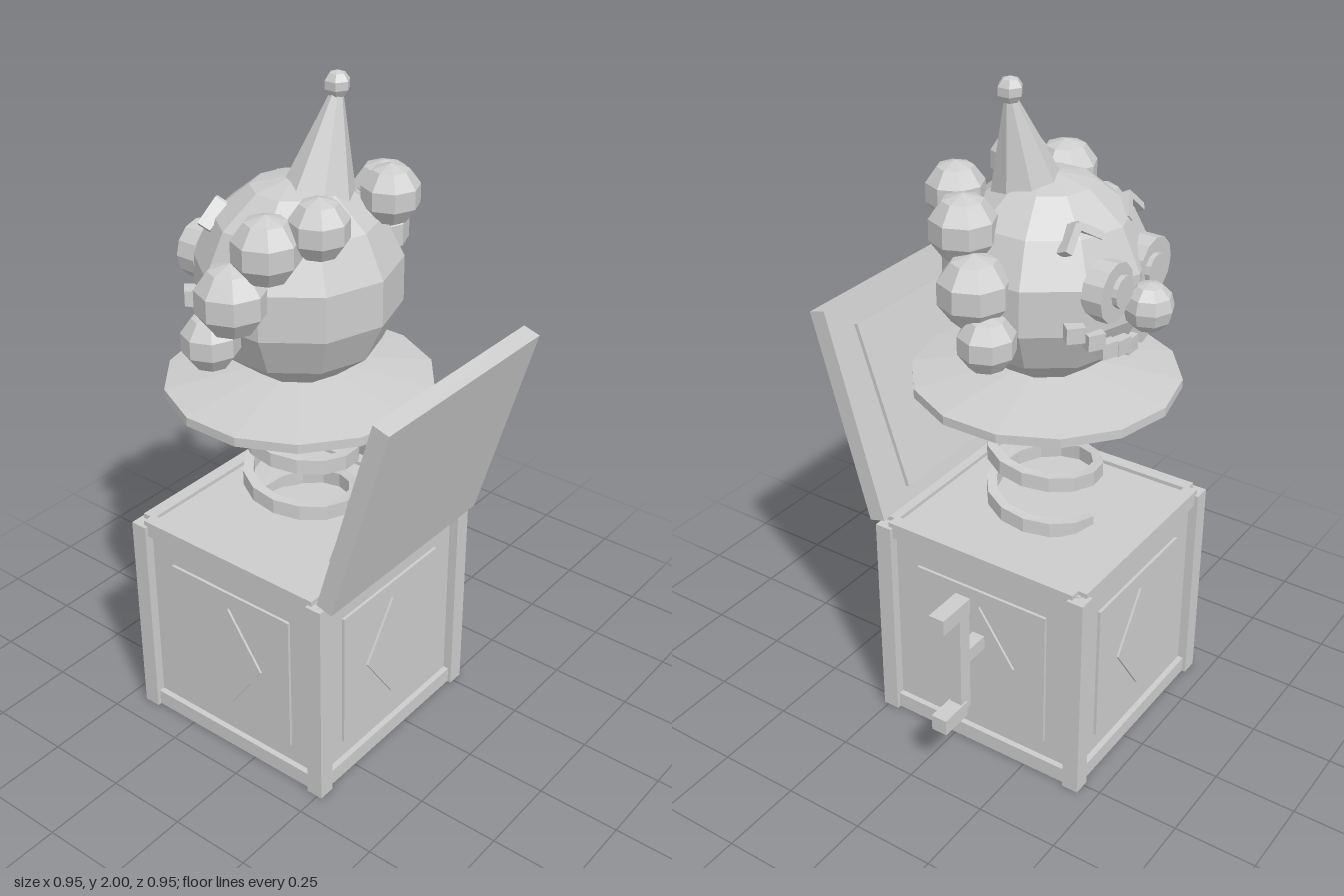
import * as THREE from 'three';

const grey = new THREE.MeshStandardMaterial({ color: 0xcccccc, flatShading: true });
grey.name = 'plain grey';

function add(parent, name, geometry, x = 0, y = 0, z = 0) {
  const mesh = new THREE.Mesh(geometry, grey);
  mesh.name = name;
  mesh.position.set(x, y, z);
  parent.add(mesh);
  return mesh;
}
const box = (w, h, d) => new THREE.BoxGeometry(w, h, d);
const ball = (r, w, h) => new THREE.SphereGeometry(r, w, h).rotateY(Math.PI / 2);

function group(parent, name) {
  const g = new THREE.Group();
  g.name = name;
  parent.add(g);
  return g;
}

// Flat ribbon wound into a helix, with closed ends
function springGeometry(radius, thick, tall, y0, y1, turns, perTurn) {
  const n = Math.round(turns * perTurn), pos = [], idx = [];
  for (let i = 0; i <= n; i++) {
    const a = (i / n) * turns * Math.PI * 2;
    const y = y0 + ((y1 - y0) * i) / n;
    for (const [dr, dy] of [[1, -1], [1, 1], [-1, 1], [-1, -1]]) {
      const r = radius + (dr * thick) / 2;
      pos.push(r * Math.sin(a), y + (dy * tall) / 2, -r * Math.cos(a));
    }
    if (i === n) break;
    for (let k = 0; k < 4; k++) {
      const p = 4 * i + k, q = 4 * i + ((k + 1) % 4);
      idx.push(p, q, p + 4, q, q + 4, p + 4);
    }
  }
  const e = 4 * n;
  idx.push(0, 2, 1, 0, 3, 2, e, e + 1, e + 2, e, e + 2, e + 3);
  const g = new THREE.BufferGeometry();
  g.setAttribute('position', new THREE.Float32BufferAttribute(pos, 3));
  g.setIndex(idx);
  g.computeVertexNormals();
  return g;
}

function buildBox(root) {
  const g = group(root, 'box');
  add(g, 'boxBody', box(0.652, 0.67, 0.652), 0, 0.34, 0);
  const diamond = new THREE.Shape([[0, -0.175], [0.12, 0], [0, 0.175], [-0.12, 0]]
    .map(([x, y]) => new THREE.Vector2(x, y)));
  const diamondGeo = new THREE.ExtrudeGeometry(diamond, { depth: 0.008, bevelEnabled: false });
  for (let i = 0; i < 4; i++) {
    const side = group(g, 'boxSide');
    side.rotation.y = (i * Math.PI) / 2;
    add(side, 'cornerPost', box(0.052, 0.672, 0.052), 0.329, 0.336, 0.329);
    add(side, 'topRail', box(0.632, 0.05, 0.04), 0, 0.662, 0.324);
    add(side, 'bottomRail', box(0.632, 0.05, 0.04), 0, 0.027, 0.324);
    add(side, 'panel', box(0.445, 0.45, 0.01), 0, 0.337, 0.33);
    add(side, 'diamond', diamondGeo, 0, 0.337, 0.334);
  }
}

function buildLid(root) {
  const lid = add(root, 'lid', box(0.685, 0.655, 0.053), 0, 0.9925, 0.449);
  lid.rotation.x = 0.28;
  const panel = add(root, 'lidPanel', box(0.508, 0.51, 0.012), 0, 1.008, 0.394);
  panel.rotation.x = 0.328;
}

function buildCrank(root) {
  const g = group(root, 'crank');
  add(g, 'crankShaft', box(0.1, 0.044, 0.04), 0.375, 0.395, 0);
  add(g, 'crankBar', box(0.045, 0.37, 0.04), 0.437, 0.396, 0);
  add(g, 'crankTopHandle', box(0.126, 0.05, 0.05), 0.479, 0.575, 0);
  add(g, 'crankBottomHandle', box(0.106, 0.05, 0.05), 0.489, 0.217, 0);
}

function buildFace(head) {
  for (const s of [-1, 1]) {
    // Eyes: a wide disc with a smaller disc on it
    const disc = (r, d) => new THREE.CylinderGeometry(r, r, d, 12).rotateX(Math.PI / 2);
    add(head, 'eye', disc(0.083, 0.06), s * 0.1, 1.487, -0.248);
    add(head, 'pupil', disc(0.045, 0.015), s * 0.085, 1.487, -0.285);
    // Chevron brows
    const brow = group(head, 'brow');
    brow.position.set(s * 0.125, 1.63, -0.17);
    brow.rotation.set(0.45, s * -0.25, 0);
    for (const t of [-1, 1]) {
      add(brow, 'browHalf', box(0.085, 0.022, 0.04), t * 0.03, 0, 0).rotation.z = -t * 0.7;
    }
  }
  add(head, 'nose', ball(0.07, 8, 6), 0, 1.42, -0.318);
  // Smile of stepped blocks following the head
  for (let i = -4; i <= 4; i++) {
    const u = i / 4, x = 0.2 * u;
    const y = 1.295 + 0.1 * u * u + (i % 2 ? 0.012 : 0);
    const z = -Math.sqrt(0.295 ** 2 - x * x - (y - 1.44) ** 2);
    add(head, 'mouthBlock', box(0.05, 0.045, 0.04), x, y, z).rotation.y = Math.atan2(x, z);
  }
}

function buildHead(root) {
  const head = group(root, 'head');
  add(head, 'skull', ball(0.294, 10, 7), 0, 1.44, 0);
  // Curls: x, y, z, radius, mirrored on both sides
  const curls = [
    [0.15, 1.68, 0.195, 0.085], [0.247, 1.63, 0.102, 0.096],
    [0.303, 1.492, 0.03, 0.103], [0.328, 1.367, -0.027, 0.083],
  ];
  for (const s of [-1, 1]) {
    for (const [x, y, z, r] of curls) add(head, 'hairCurl', ball(r, 8, 5), s * x, y, z);
  }
  // Leaning pointed hat with a bobble
  const base = new THREE.Vector3(0.028, 1.66, 0.045);
  const tip = new THREE.Vector3(0.098, 1.945, 0.057);
  const axis = tip.clone().sub(base);
  const mid = base.clone().add(tip).multiplyScalar(0.5);
  const hat = add(head, 'hat', new THREE.CylinderGeometry(0.016, 0.11, axis.length(), 8), mid.x, mid.y, mid.z);
  hat.quaternion.setFromUnitVectors(new THREE.Vector3(0, 1, 0), axis.normalize());
  add(head, 'hatBobble', ball(0.037, 6, 5), 0.098, 1.963, 0.057);
  buildFace(head);
}

export function createModel() {
  const model = new THREE.Group();
  model.name = 'jackInTheBox';
  const root = group(model, 'toy');
  root.position.set(-0.068, 0, -0.09);
  buildBox(root);
  buildLid(root);
  buildCrank(root);
  add(root, 'spring', springGeometry(0.157, 0.03, 0.045, 0.68, 1.11, 2.8, 14));
  // Wide shallow collar
  const profile = [[0, 1.125], [0.15, 1.125], [0.385, 1.108], [0.385, 1.135], [0.12, 1.18], [0, 1.18]]
    .map(([x, y]) => new THREE.Vector2(x, y));
  add(root, 'collar', new THREE.LatheGeometry(profile, 14));
  buildHead(root);
  return model;
}
